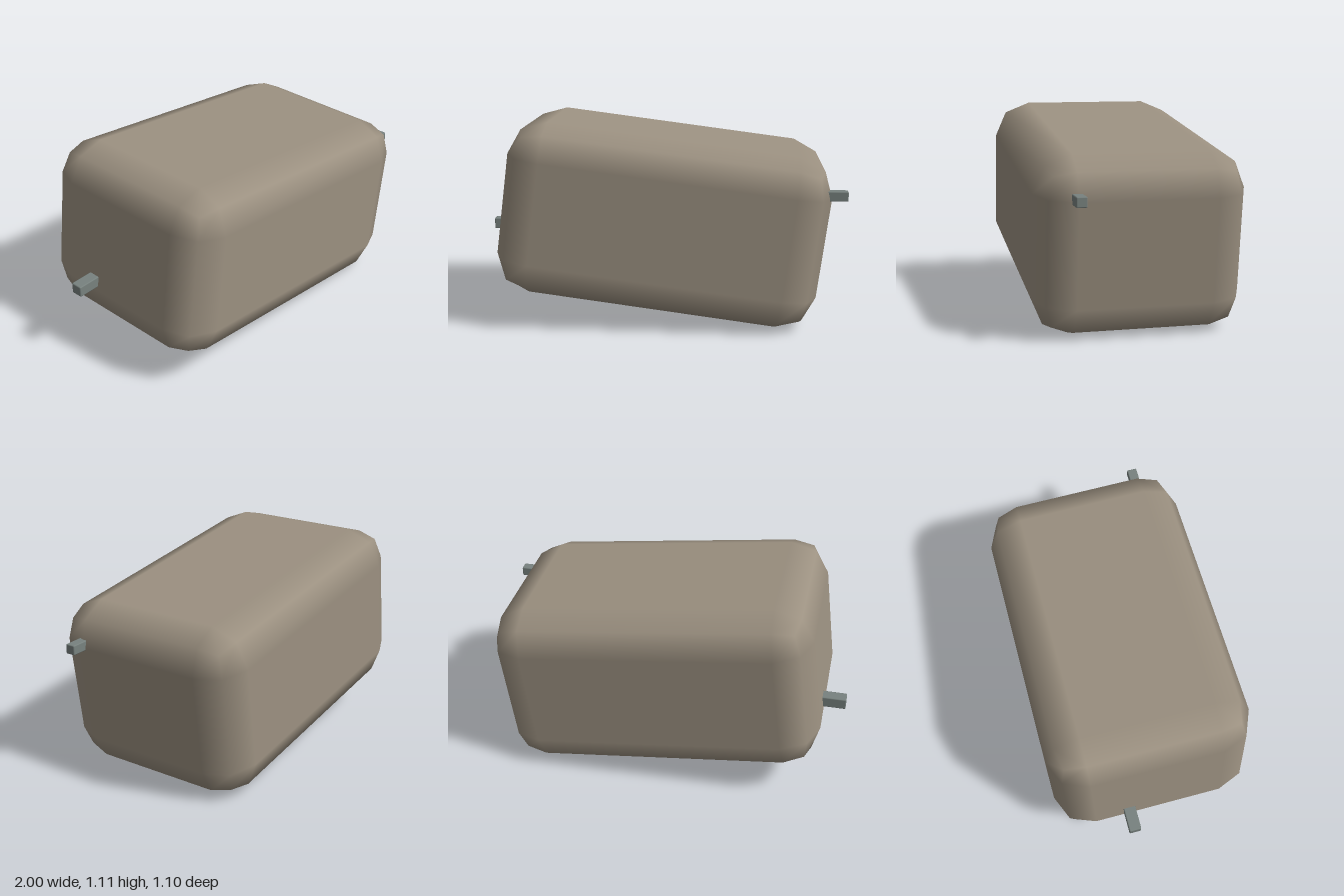
import * as THREE from 'three';
import { RoundedBoxGeometry } from 'three/addons/geometries/RoundedBoxGeometry.js';

export function createModel() {
  const group = new THREE.Group();
  const stone = new THREE.MeshStandardMaterial({ name: 'warm grey stone', color: 0x9c9181 });
  const metal = new THREE.MeshStandardMaterial({ name: 'cool grey metal', color: 0x78827f });

  // Soft-edged block with one-step bevels
  const addBlock = (name, size, radius, position, material) => {
    const mesh = new THREE.Mesh(new RoundedBoxGeometry(...size, 1, radius), material);
    mesh.name = name;
    mesh.position.set(...position);
    group.add(mesh);
    return mesh;
  };

  // Main block, tipped down towards its left
  const body = addBlock('body', [1.742, 0.94, 1.096], 0.195, [0.0175, 0.5575, 0], stone);
  body.rotation.z = -0.1295;

  // Small pegs standing out of the two ends
  addBlock('leftPeg', [0.16, 0.053, 0.055], 0.006, [0.92, 0.734, 0.357], metal);
  addBlock('rightPeg', [0.2, 0.062, 0.066], 0.006, [-0.9, 0.45, -0.162], metal);

  return group;
}
